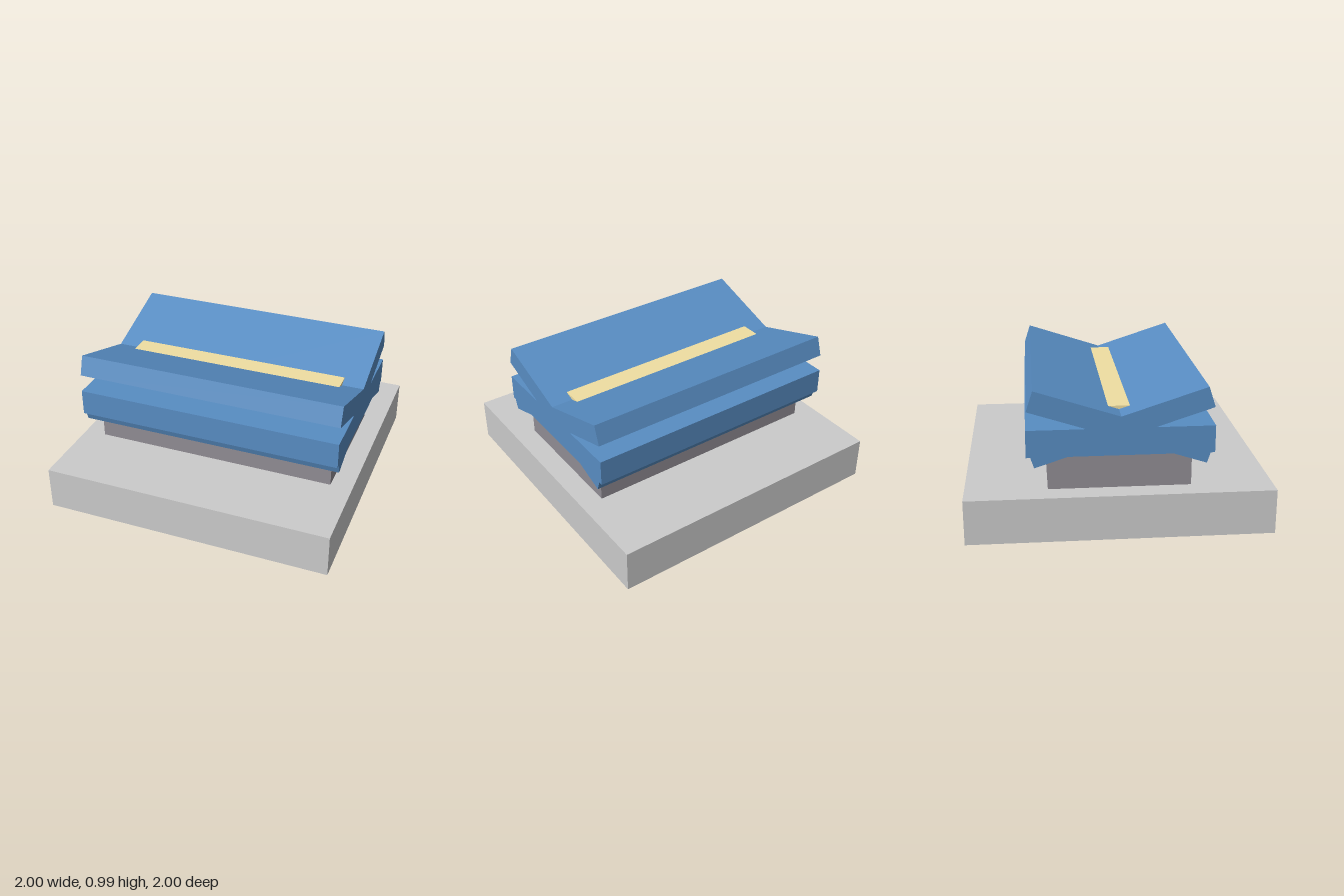
import * as THREE from 'three';

const material = (color) => new THREE.MeshStandardMaterial({ color });

export function createModel() {
  const model = new THREE.Group();
  model.name = 'crossedSlabsOnBase';

  const grey = material(0xcccccc);
  const darkGrey = material(0x918d94);
  const blue = material(0x588dc3);
  const cream = material(0xf0dfa2);

  const addBox = (name, mat, size, y, tilt = 0) => {
    const mesh = new THREE.Mesh(new THREE.BoxGeometry(...size), mat);
    mesh.name = name;
    mesh.position.y = y;
    mesh.rotation.x = tilt;
    model.add(mesh);
  };

  // Square base and the plinth on it
  addBox('base', grey, [2, 0.3, 2], 0.165);
  addBox('plinth', darkGrey, [1.7, 0.245, 0.93], 0.4375);

  // Level slab, with two slabs crossing through it
  addBox('levelSlab', blue, [1.845, 0.18, 1.2], 0.65);
  for (const side of [-1, 1]) {
    addBox(side < 0 ? 'slabRisingToFront' : 'slabRisingToBack', blue,
      [1.845, 0.14, 1.2], 0.7425, side * THREE.MathUtils.degToRad(18));
  }

  // Strip lying in the valley between the crossed slabs
  addBox('valleyStrip', cream, [1.54, 0.06, 0.15], 0.809);

  // Row of small studs under the base
  const studGeometry = new THREE.CylinderGeometry(0.037, 0.037, 0.03, 24);
  for (let i = 0; i < 8; i++) {
    const stud = new THREE.Mesh(studGeometry, grey);
    stud.name = `stud${i + 1}`;
    stud.position.set((i - 3.5) * 0.179, 0.015, 0.38);
    model.add(stud);
  }

  return model;
}
